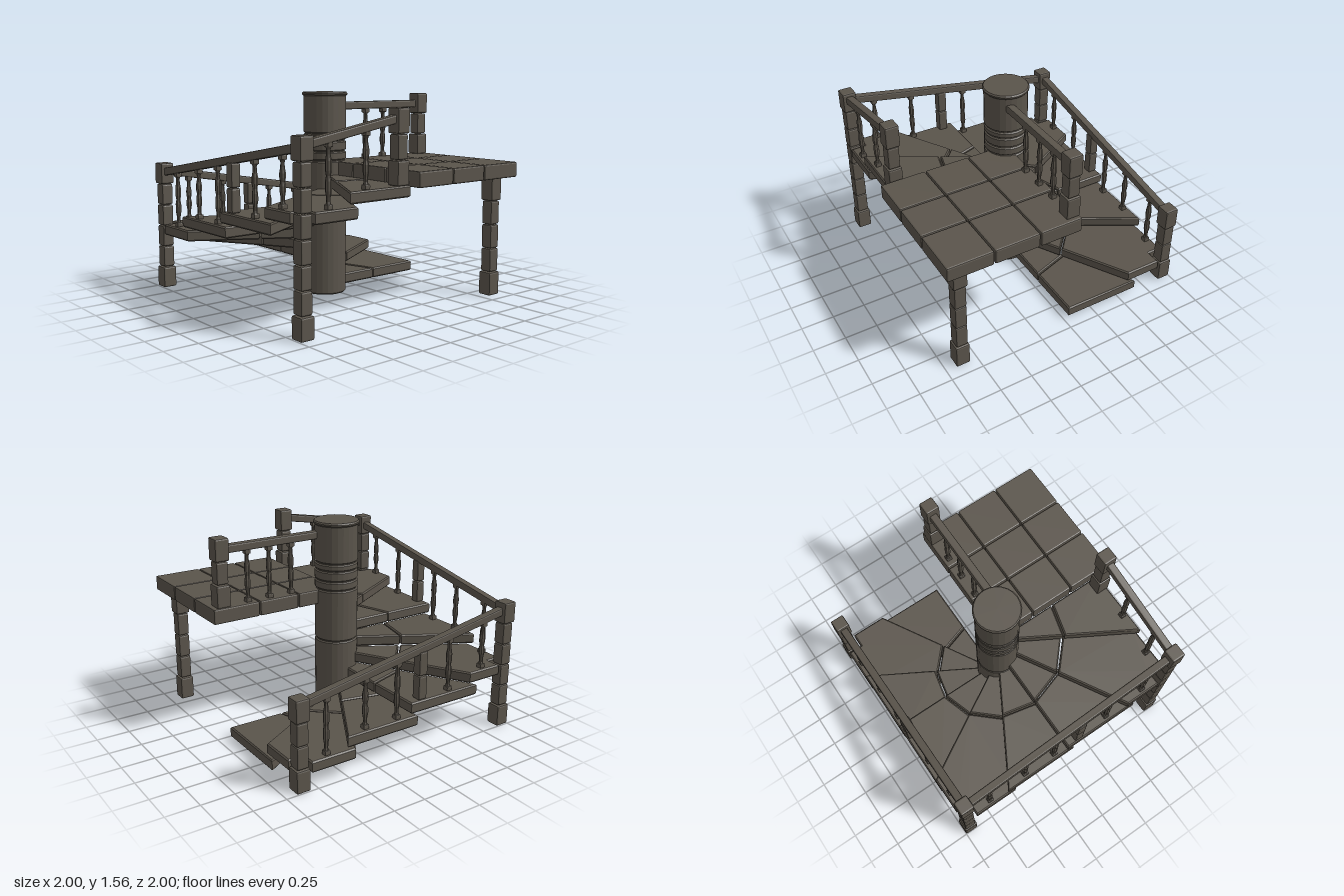
import * as THREE from 'three';
import { RoundedBoxGeometry } from 'three/addons/geometries/RoundedBoxGeometry.js';

const stone = new THREE.MeshStandardMaterial({ color: 0x5a544b, flatShading: true });
stone.name = 'dark stone';

const C = -0.04;          // stair axis, same in x and z
const HALF = 0.95;        // half width of the square stair well
const STEP_H = 0.083, RISE = 0.104, FIRST_TOP = 0.1;
const SLOPE = 0.176;      // handrail pitch
const RAIL_H = 0.06;
const EDGE = 0.945, NEAR = 0.865;

function add(parent, geometry, name, x = 0, y = 0, z = 0) {
  const mesh = new THREE.Mesh(geometry, stone);
  mesh.name = name;
  mesh.position.set(x, y, z);
  parent.add(mesh);
  return mesh;
}

function group(parent, name) {
  const g = new THREE.Group();
  g.name = name;
  parent.add(g);
  return g;
}

const block = (w, h, d, r = 0.01) => new RoundedBoxGeometry(w, h, d, 1, r);
const stepTop = (i) => FIRST_TOP + RISE * i;

// Flat bevelled slab from a plan outline (plan y points to the back)
function slab(points, h) {
  const b = 0.01;
  const shape = new THREE.Shape(points.map(([x, y]) => new THREE.Vector2(x, y)));
  return new THREE.ExtrudeGeometry(shape, {
    depth: h - 2 * b, bevelThickness: b, bevelSize: b, bevelOffset: -b, bevelSegments: 1,
  }).translate(0, 0, b).rotateX(-Math.PI / 2);
}

// Wedge step in two pieces; its back edge runs under the next step
function addStep(parent, i) {
  const a0 = i * Math.PI / 6, a1 = a0 + Math.PI / 6;
  const lap = i === 8 ? 0 : 0.06;
  const front = (r) => [r * Math.cos(a0), r * Math.sin(a0)];
  const back = (r) => [r * Math.cos(a1) - lap * Math.sin(a1), r * Math.sin(a1) + lap * Math.cos(a1)];
  const toWall = (edge) => {
    let lo = 0.5, hi = 1.6;
    for (let k = 0; k < 40; k++) {
      const m = (lo + hi) / 2, [x, y] = edge(m);
      if (Math.max(Math.abs(x), Math.abs(y)) > HALF) hi = m; else lo = m;
    }
    return edge(lo);
  };
  // Notch around the newel post on corner steps
  const corner = [];
  if (i % 3 === 1) {
    const q = Math.floor(i / 3) * Math.PI / 2, c = Math.cos(q), s = Math.sin(q), n = 0.835;
    for (const [x, y] of [[HALF, n], [n, n], [n, HALF]]) corner.push([x * c - y * s, x * s + y * c]);
  }
  const g = group(parent, 'step');
  g.position.set(C, stepTop(i) - STEP_H, C);
  add(g, slab([front(0.1), front(0.505), back(0.505), back(0.1)], STEP_H), 'innerTread');
  add(g, slab([front(0.518), toWall(front), ...corner, toWall(back), back(0.518)], STEP_H), 'outerTread');
}

// Post of stacked blocks, wider at both ends
function addPost(parent, name, x, z, y0, y1, count, width = 0.11) {
  const g = group(parent, name);
  const h = (y1 - y0) / count;
  for (let i = 0; i < count; i++) {
    const w = i === 0 || i === count - 1 ? width : width * 0.84;
    add(g, block(w, h - 0.004, w, 0.012), 'postBlock', x, y0 + h * (i + 0.5), z);
  }
}

// Turned baluster with square ends
function addBaluster(parent, x, z, y0, y1) {
  const g = group(parent, 'baluster');
  g.position.set(x, y0, z);
  const h = y1 - y0;
  const profile = [[0.02, 0.03], [0.014, 0.05], [0.015, 0.08], [0.022, 0.12], [0.022, h * 0.42],
    [0.016, h * 0.5], [0.022, h * 0.58], [0.022, h - 0.12], [0.015, h - 0.08], [0.014, h - 0.05], [0.02, h - 0.03]];
  add(g, new THREE.LatheGeometry(profile.map(([r, y]) => new THREE.Vector2(r, y)), 8), 'shaft');
  for (const y of [0.016, h - 0.016]) add(g, block(0.046, 0.034, 0.046, 0.006), 'endBlock', 0, y, 0);
}

// Straight handrail between two points
function addRail(parent, a, b) {
  const from = new THREE.Vector3(...a), to = new THREE.Vector3(...b);
  const rail = add(parent, block(0.06, RAIL_H, from.distanceTo(to)), 'handrail');
  rail.position.copy(from).add(to).multiplyScalar(0.5);
  rail.lookAt(to);
}

export function createModel() {
  const model = new THREE.Group();
  model.name = 'spiralStair';

  // Central column with grooves and cap
  const R = 0.165, profile = [[0, 0], [R - 0.008, 0], [R, 0.01]];
  for (const y of [0.635, 1.04, 1.11, 1.19, 1.245]) {
    profile.push([R, y - 0.012], [R - 0.01, y - 0.004], [R - 0.01, y + 0.004], [R, y + 0.012]);
  }
  profile.push([R, 1.53], [0.175, 1.54], [0.175, 1.55], [0.166, 1.56], [0, 1.56]);
  add(model, new THREE.LatheGeometry(profile.map(([r, y]) => new THREE.Vector2(r, y)), 24), 'column', C, 0, C);

  // Steps
  const steps = group(model, 'steps');
  for (let i = 0; i < 9; i++) addStep(steps, i);

  // Landing of three by three slabs
  const landing = group(model, 'landing');
  const xs = [-0.04, 0.3, 0.63, 1], zs = [-0.04, 0.295, 0.65, 1];
  for (let i = 0; i < 3; i++) {
    for (let j = 0; j < 3; j++) {
      const w = xs[i + 1] - xs[i], d = zs[j + 1] - zs[j];
      const gx = i < 2 ? 0.007 : 0, gz = j < 2 ? 0.007 : 0;
      add(landing, block(w - gx, 0.115, d - gz, 0.012), 'landingSlab',
        xs[i] + (w - gx) / 2, 0.977, zs[j] + (d - gz) / 2);
    }
  }

  // Posts
  const posts = group(model, 'posts');
  addPost(posts, 'firstNewel', NEAR, -EDGE, 0, 0.68, 4);
  addPost(posts, 'backCornerNewel', -EDGE, -EDGE, 0, 1.0, 6);
  addPost(posts, 'frontCornerNewel', -EDGE, NEAR, 0, 1.32, 8);
  addPost(posts, 'topNewel', -0.115, NEAR, 0.932, 1.47, 3);
  addPost(posts, 'landingSupport', NEAR, NEAR, 0, 0.922, 5);
  addPost(posts, 'landingNewel', 0.915, 0.015, 1.032, 1.54, 3);
  addPost(posts, 'backMiddlePost', -0.145, -EDGE, stepTop(3), 0.78, 2, 0.075);
  addPost(posts, 'sideMiddlePost', -EDGE, 0.065, stepTop(6), 1.085, 2, 0.075);

  // Handrails
  const railing = group(model, 'railing');
  const backRail = (x) => 0.617 + SLOPE * (NEAR - x);
  const sideRail = (z) => 0.924 + SLOPE * (z + EDGE);
  const frontRail = (x) => 1.253 + SLOPE * (x + EDGE);
  addRail(railing, [NEAR, backRail(NEAR), -EDGE], [-EDGE, backRail(-EDGE), -EDGE]);
  addRail(railing, [-EDGE, sideRail(-EDGE), -EDGE], [-EDGE, sideRail(NEAR), NEAR]);
  addRail(railing, [-EDGE, frontRail(-EDGE), NEAR], [-0.115, frontRail(-0.115), NEAR]);
  addRail(railing, [0.06, 1.452, 0.01], [0.915, 1.452, 0.01]);

  // Balusters, paired with the step they stand on
  const under = RAIL_H / 2 - 0.006;
  for (const [x, i] of [[0.655, 1], [0.335, 2], [0.06, 2], [-0.41, 3], [-0.73, 4]]) {
    addBaluster(railing, x, -EDGE, stepTop(i), backRail(x) - under);
  }
  for (const [z, i] of [[-0.73, 4], [-0.41, 5], [-0.14, 5], [0.335, 6], [0.655, 7]]) {
    addBaluster(railing, -EDGE, z, stepTop(i), sideRail(z) - under);
  }
  for (const [x, i] of [[-0.735, 7], [-0.415, 8]]) {
    addBaluster(railing, x, NEAR, stepTop(i), frontRail(x) - under);
  }
  for (const x of [0.335, 0.52, 0.7]) addBaluster(railing, x, 0.01, 1.032, 1.425);

  return model;
}
